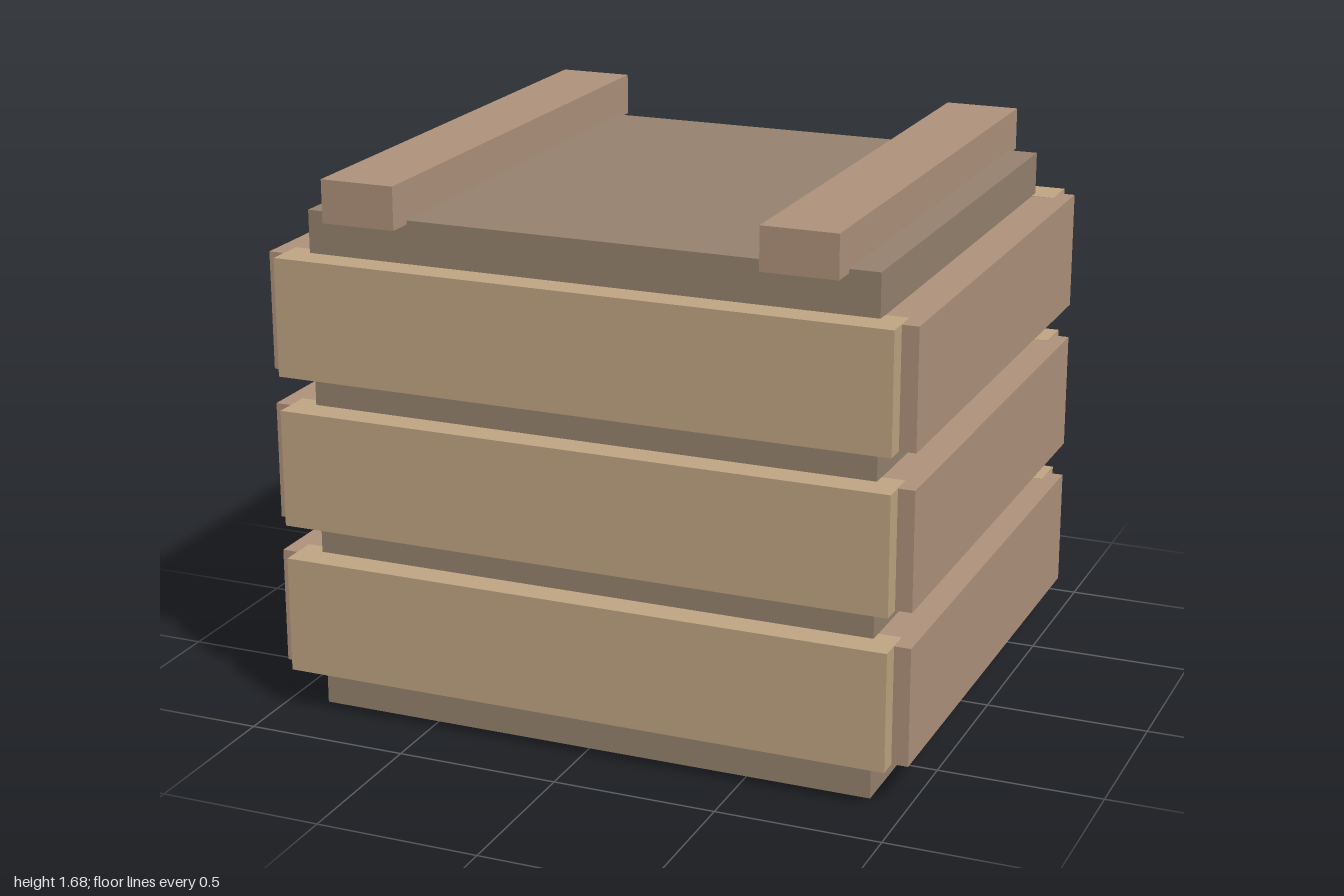
import * as THREE from 'three';

const material = (color) => new THREE.MeshStandardMaterial({ color, flatShading: true });

export function createModel() {
  const crate = new THREE.Group();
  crate.name = 'woodenCrate';

  const bodyWood = material(0x97836f);
  const lightWood = material(0xc0a684);
  const warmWood = material(0xb0937c);

  function addBox(name, wood, [w, h, d], [x, y, z]) {
    const mesh = new THREE.Mesh(new THREE.BoxGeometry(w, h, d), wood);
    mesh.name = name;
    mesh.position.set(x, y, z);
    crate.add(mesh);
  }

  // Solid inner box
  addBox('body', bodyWood, [1.76, 1.56, 1.505], [0, 0.78, 0]);

  // Three rows of planks wrapped around the four sides
  const plankHeight = 0.362;
  for (let row = 0; row < 3; row++) {
    const y = 0.313 + row * 0.468;
    for (const side of [1, -1]) {
      addBox(side > 0 ? 'frontPlank' : 'backPlank', lightWood,
        [1.9, plankHeight, 0.13], [0, y, side * 0.777]);
      // A hair lower, so the overlapping corners stay clean
      addBox(side > 0 ? 'leftPlank' : 'rightPlank', warmWood,
        [0.13, plankHeight - 0.002, 1.56], [side * 0.935, y, 0]);
    }
  }

  // Rails across the lid
  for (const side of [1, -1]) {
    addBox(side > 0 ? 'leftRail' : 'rightRail', warmWood,
      [0.23, 0.13, 1.665], [side * 0.673, 1.613, 0]);
  }

  return crate;
}
